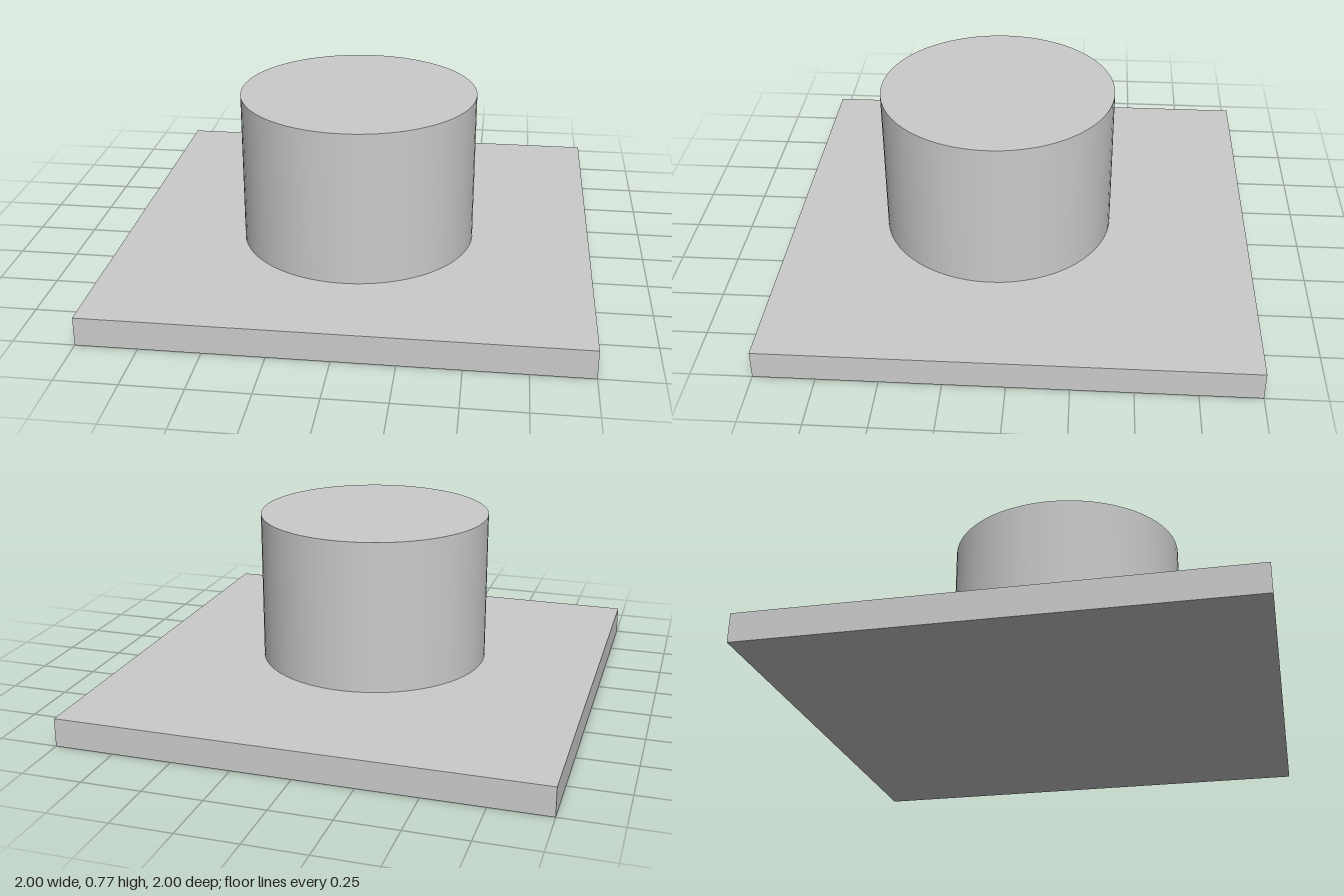
import * as THREE from 'three';

export function createModel() {
  const model = new THREE.Group();
  const material = new THREE.MeshStandardMaterial({ color: 0xcccccc });
  const baseHeight = 0.12;
  const bossHeight = 0.65;

  // Square base plate
  const basePlate = new THREE.Mesh(new THREE.BoxGeometry(2, baseHeight, 2), material);
  basePlate.name = 'basePlate';
  basePlate.position.y = baseHeight / 2;

  // Round boss standing on the plate, set slightly towards the front
  const boss = new THREE.Mesh(new THREE.CylinderGeometry(0.498, 0.498, bossHeight, 64), material);
  boss.name = 'cylindricalBoss';
  boss.position.set(0, baseHeight + bossHeight / 2, 0.1);

  model.add(basePlate, boss);
  return model;
}
